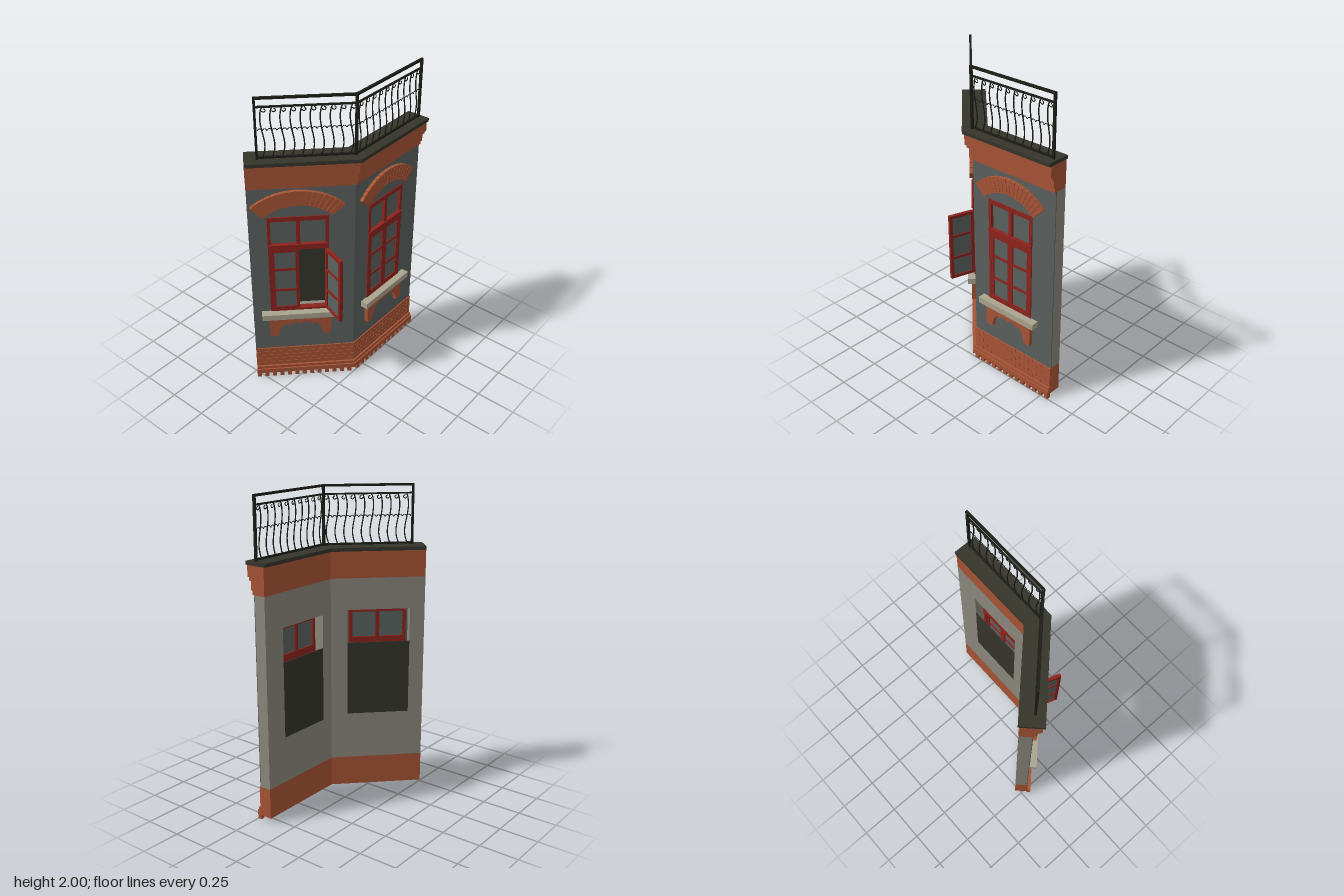
import * as THREE from 'three';
import { mergeGeometries } from 'three/addons/utils/BufferGeometryUtils.js';

const mat = (name, color) => {
  const m = new THREE.MeshStandardMaterial({ color });
  m.name = name;
  return m;
};
const M = {
  brick: mat('brick', 0xa75435),
  wall: mat('bare wall', 0x8b877c),
  paint: mat('painted front', 0x5b615f),
  red: mat('red wood', 0x8e231c),
  glass: mat('glass', 0x5a6260),
  stone: mat('sill stone', 0xaaa48f),
  dark: mat('dark slab', 0x35352c),
  iron: mat('iron', 0x1d1e17),
};
const TAN = Math.tan(Math.PI / 8); // mitre slope between the two wings

// Box from its limits
function box(x0, x1, y0, y1, z0, z1) {
  const g = new THREE.BoxGeometry(Math.abs(x1 - x0), y1 - y0, z1 - z0);
  return g.translate((x0 + x1) / 2, (y0 + y1) / 2, (z0 + z1) / 2);
}

// Slide the joint end (x = 0) onto the mitre plane
function mitre(g, s) {
  const p = g.attributes.position;
  for (let i = 0; i < p.count; i++)
    if (Math.abs(p.getX(i)) < 1e-4) p.setX(i, -s * TAN * p.getZ(i));
  g.computeVertexNormals();
  return g;
}

function add(parent, name, material, geos) {
  const mesh = new THREE.Mesh(Array.isArray(geos) ? mergeGeometries(geos) : geos, material);
  mesh.name = name;
  parent.add(mesh);
  return mesh;
}

function extrude(shape, z0, z1) {
  const g = new THREE.ExtrudeGeometry(shape, { depth: z1 - z0, bevelEnabled: false, curveSegments: 6 });
  return g.translate(0, 0, z0);
}

function rectPath(P, x0, x1, y0, y1) {
  const p = new P();
  p.moveTo(x0, y0); p.lineTo(x1, y0); p.lineTo(x1, y1); p.lineTo(x0, y1); p.closePath();
  return p;
}

// Glazed sash reaching from its hinge at x = 0 to x = dir * w
function sash(name, w, dir) {
  const g = new THREE.Group(), y0 = 0.532, y1 = 0.985, b = 0.02, t = 0.011;
  g.name = name;
  const bars = [
    box(0, dir * b, y0, y1, -t, t), box(dir * (w - b), dir * w, y0, y1, -t, t),
    box(0, dir * w, y0, y0 + b, -t, t), box(0, dir * w, y1 - b, y1, -t, t),
  ];
  for (const y of [0.68, 0.835]) bars.push(box(0, dir * w, y - 0.008, y + 0.008, -t * 0.8, t * 0.8));
  add(g, 'sashBars', M.red, bars);
  add(g, 'sashGlass', M.glass, box(dir * b / 2, dir * (w - b / 2), y0 + 0.01, y1 - 0.01, -0.003, 0.003));
  return g;
}

// Window with arch, sill and apron; k widens it
function windowBay(k, open) {
  const g = new THREE.Group(), h = 0.169 * k, z0 = -0.03, z1 = 0.006;
  g.name = 'windowBay';
  add(g, 'windowFrame', M.red, [
    box(-h, -h + 0.02, 0.52, 1.215, z0, z1), box(h - 0.02, h, 0.52, 1.215, z0, z1),
    box(-h, h, 0.518, 0.534, z0, z1), box(-h, h, 1.188, 1.217, z0, z1),
    box(-h, h, 0.985, 1.012, z0, 0.008), box(-h, h, 1.008, 1.024, z0, 0.014),
    box(-0.012, 0.012, 1.02, 1.19, z0 + 0.005, z1),
  ]);
  add(g, 'transomGlass', M.glass, box(-h + 0.01, h - 0.01, 1.015, 1.2, -0.018, -0.012));
  for (const d of [-1, 1]) {
    const s = sash(d < 0 ? 'leftSash' : 'rightSash', h - 0.016, -d);
    s.position.set(d * (h - 0.016), 0, -0.006);
    if (open && d > 0) {
      s.rotation.y = THREE.MathUtils.degToRad(117);
      s.position.z = 0.008;
    }
    g.add(s);
  }
  add(g, 'backPanel', M.dark, box(-0.184 * k, 0.184 * k, 0.52, 1.0, -0.08, -0.074));
  add(g, 'sill', M.stone, box(-0.222 * k, 0.222 * k, 0.48, 0.52, -0.01, 0.05));

  // Brick arch made of wedge bricks
  const n = 17, a = THREE.MathUtils.degToRad(44.4), bricks = [];
  for (let i = 0; i < n; i++) {
    const a0 = -a + (2 * a * i) / n + 0.004, a1 = -a + (2 * a * (i + 1)) / n - 0.004;
    const pt = (r, q) => new THREE.Vector2(r * Math.sin(q) * k, 1.033 + r * Math.cos(q));
    const out = 0.367, inn = 0.27;
    bricks.push(extrude(new THREE.Shape([pt(inn, a0), pt(inn, a1), pt(out, a1), pt(out, a0)]), -0.002, 0.022));
  }
  add(g, 'archBricks', M.brick, bricks);
  const arc = new THREE.Shape();
  arc.absarc(0, 1.033, 0.363, Math.PI / 2 - a, Math.PI / 2 + a, false);
  arc.absarc(0, 1.033, 0.274, Math.PI / 2 + a, Math.PI / 2 - a, true);
  add(g, 'archBacking', M.brick, extrude(arc, -0.002, 0.016).scale(k, 1, 1));

  // Scalloped apron under the sill
  const s = new THREE.Shape();
  s.moveTo(-0.182, 0.48); s.lineTo(-0.178, 0.33); s.lineTo(-0.13, 0.33);
  s.quadraticCurveTo(-0.125, 0.4, -0.085, 0.425);
  s.lineTo(-0.07, 0.412);
  s.quadraticCurveTo(-0.03, 0.455, 0, 0.415);
  s.quadraticCurveTo(0.03, 0.455, 0.07, 0.412);
  s.lineTo(0.085, 0.425);
  s.quadraticCurveTo(0.125, 0.4, 0.13, 0.33);
  s.lineTo(0.178, 0.33); s.lineTo(0.182, 0.48);
  add(g, 'apron', M.brick, extrude(s, -0.002, 0.025).scale(k, 1, 1));
  return g;
}

// Iron railing along one wing
function railing(s, len) {
  const g = new THREE.Group(), n = 10, step = (len - 0.01) / n, r = 0.0032;
  g.name = 'railing';
  const rail = (y, t) => mitre(box(0, s * len, y - t, y + t, -t, t), s);
  add(g, 'rails', M.iron, [rail(1.992, 0.007), rail(1.94, 0.005), rail(1.632, 0.006)]);
  add(g, 'posts', M.iron, [0, len].map(u => box(s * u - 0.007, s * u + 0.007, 1.62, 1.999, -0.007, 0.007)));
  const bars = [];
  for (let i = 0; i < n; i++) {
    const x = s * (i + 0.5) * step;
    const path = [[-0.004, 1.632], [0.011, 1.69], [0.009, 1.74], [-0.004, 1.81], [-0.01, 1.87], [-0.004, 1.92], [0.004, 1.94]];
    const curve = new THREE.CatmullRomCurve3(path.map(([u, y]) => new THREE.Vector3(x + u, y, 0)));
    bars.push(new THREE.TubeGeometry(curve, 14, r * 1.25, 5));
    bars.push(new THREE.TorusGeometry(0.01, r, 4, 10, Math.PI * 1.5).rotateZ(Math.PI).translate(x + 0.012, 1.918, 0));
    for (const d of [-1, 1])
      bars.push(new THREE.TorusGeometry(step / 4 - 0.002, r * 0.8, 4, 8, Math.PI).translate(x + d * step / 4, 1.797, 0));
  }
  add(g, 'balusters', M.iron, bars);
  return g;
}

// One wing; s = 1 runs to +x from the joint, s = -1 to -x
function wing(name, s, c, k, dy, railLen) {
  const g = new THREE.Group(), L = 0.63;
  g.name = name;
  const band = (y0, y1, z0, z1) => mitre(box(0, s * L, y0, y1, z0, z1).toNonIndexed(), s);

  // Wall core and painted face, both with a window opening
  const wall = (half, z0, z1) => {
    const sh = rectPath(THREE.Shape, 0, s * L, 0.225, 1.43);
    sh.holes.push(rectPath(THREE.Path, s * c - half, s * c + half, 0.52 + dy, 1.215 + dy));
    return mitre(extrude(sh, z0, z1), s);
  };
  add(g, 'wallCore', M.wall, wall(0.184 * k, -0.08, -0.005));
  add(g, 'wallFace', M.paint, wall(0.168 * k, -0.005, 0));

  // Stepped plinth and cornice
  add(g, 'plinth', M.brick, [
    band(0.03, 0.06, -0.08, 0.027), band(0.06, 0.08, -0.08, 0.018), band(0.08, 0.225, -0.08, 0.001),
  ]);
  add(g, 'cornice', M.brick, [
    band(1.43, 1.455, -0.08, 0.012), band(1.455, 1.51, -0.08, 0.022),
    band(1.51, 1.53, -0.08, 0.035), band(1.53, 1.6, -0.08, 0.047),
  ]);
  add(g, 'roofSlab', M.dark, band(1.6, 1.622, -0.09, 0.06));

  // Plinth bricks in running bond
  const bricks = [], rows = 5, rh = 0.145 / rows, bl = 0.07, gap = 0.0015;
  for (let r = 0; r < rows; r++) {
    for (let u = r % 2 ? -bl / 2 : 0; u < L - 0.001; u += bl) {
      const u0 = u <= 0 ? 0 : u + gap, u1 = Math.min(L, u + bl - gap);
      bricks.push(mitre(box(s * u0, s * u1, 0.08 + r * rh + gap, 0.08 + (r + 1) * rh - gap / 2, 0, 0.007).toNonIndexed(), s));
    }
  }
  add(g, 'plinthBricks', M.brick, bricks);

  // Small blocks along the foot
  const feet = [];
  for (let u = 0.012; u < L; u += 0.0493) feet.push(box(s * u, s * (u + 0.026), 0, 0.032, 0, 0.027));
  add(g, 'footBlocks', M.brick, feet);

  const bay = windowBay(k, s < 0);
  bay.position.set(s * c, dy, 0);
  g.add(bay, railing(s, railLen));
  g.position.set(-0.075, 0, 0.225);
  if (s < 0) g.rotation.y = -Math.PI / 4;
  return g;
}

export function createModel() {
  const model = new THREE.Group();
  model.name = 'cornerFacade';
  model.add(wing('straightWing', 1, 0.297, 1, 0, 0.605));
  model.add(wing('angledWing', -1, 0.338, 1.08, 0.012, 0.555));
  return model;
}
